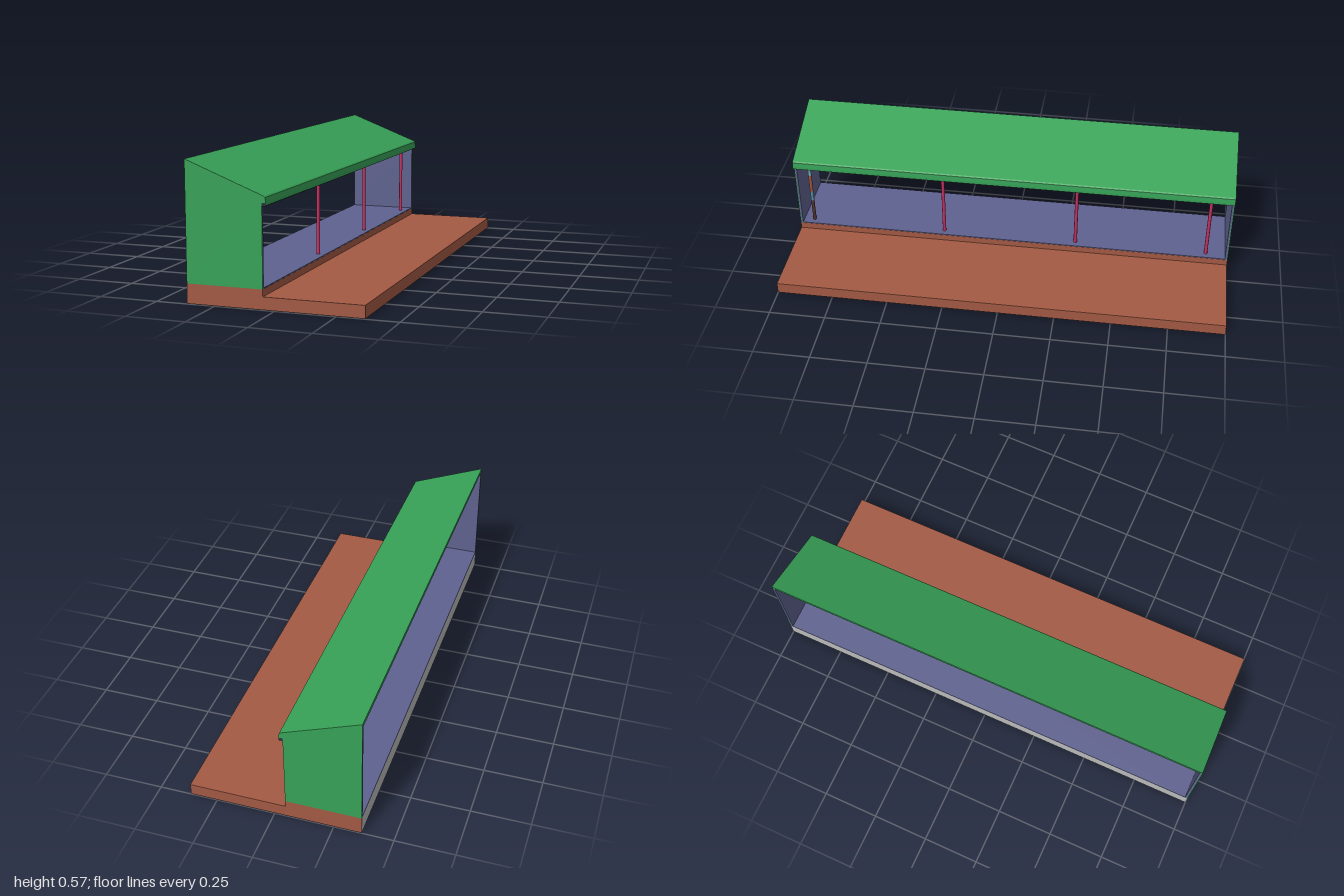
import * as THREE from 'three';

const paint = (name, color) => {
  const m = new THREE.MeshStandardMaterial({ color });
  m.name = name;
  return m;
};

export function createModel() {
  const green = paint('green', 0x37a257), brick = paint('brick', 0xa35a44);
  const blue = paint('slateBlue', 0x5f628f), crimson = paint('crimson', 0xc43262);
  const grey = paint('grey', 0xb8bab9), sky = paint('dustyBlue', 0x5e90a8);
  const teal = paint('paleTeal', 0x74b0b8), clay = paint('clay', 0xb87a6c);
  const dark = paint('darkBrown', 0x54342e), navy = paint('navy', 0x2c2d44);

  const group = new THREE.Group();
  const add = (name, geometry, material) => {
    const mesh = new THREE.Mesh(geometry, material);
    mesh.name = name;
    group.add(mesh);
    return mesh;
  };
  // box given by its extents
  const box = (name, x0, x1, y0, y1, z0, z1, material) =>
    add(name, new THREE.BoxGeometry(x1 - x0, y1 - y0, z1 - z0), material)
      .position.set((x0 + x1) / 2, (y0 + y1) / 2, (z0 + z1) / 2);
  // x-y outline drawn out along z
  const prism = (name, points, z0, z1, material) => {
    const shape = new THREE.Shape(points.map(p => new THREE.Vector2(...p)));
    const g = new THREE.ExtrudeGeometry(shape, { depth: z1 - z0, bevelEnabled: false });
    add(name, g.translate(0, 0, z0), material);
  };

  const back = -0.367, lip = -0.047, front = 0.365, step = 0.082;

  // base and terrace, with a grey rear face
  box('terrace', lip, front, 0.002, 0.053, -1, 1, brick);
  box('platform', back, lip, 0.002, step, -1, 1, [brick, grey, brick, brick, brick, brick]);
  box('floor', back, lip - 0.001, step, step + 0.004, -0.99, 0.99, blue);

  // patchwork underside: three columns across, seven rows along
  const patches = [[brick, clay, clay], [sky, teal, teal], [clay, dark, clay], [green, grey, blue]];
  const w = (front - back) / 3, d = 2 / 7;
  for (let row = 0; row < 7; row++) {
    for (let col = 0; col < 3; col++) {
      const g = new THREE.PlaneGeometry(w, d).rotateX(Math.PI / 2);
      add('undersidePatch', g, patches[row]?.[col] ?? grey)
        .position.set(front - (col + 0.5) * w, 0, -1 + (row + 0.5) * d);
    }
  }

  // end walls: green outside, blue lining inside
  const wall = [[back, step], [lip, step], [lip, 0.436], [back, 0.562]];
  for (const s of [-1, 1]) {
    const span = (a, b) => (s > 0 ? [a, b] : [-b, -a]);
    prism('endWall', wall, ...span(0.996, 1), green);
    prism('wallLining', wall, ...span(0.988, 0.996), blue);
  }

  // sloping roof with its eave, and the lining under it
  prism('roof', [[back, 0.57], [back, 0.556], [lip, 0.43], [lip, 0.416], [-0.031, 0.416],
    [-0.033, 0.437], [-0.039, 0.442]], -1, 1, green);
  prism('roofLining', [[back, 0.556], [back, 0.552], [lip, 0.426], [lip, 0.43]], -0.988, 0.988, blue);
  box('eaveBeam', lip, -0.033, 0.403, 0.416, -1, 1, navy);
  box('eaveFascia', -0.033, -0.031, 0.405, 0.416, -1, 1, green);

  // posts along the open front
  const post = (name, z, y0, y1, material) =>
    add(name, new THREE.CylinderGeometry(0.008, 0.008, y1 - y0, 8), material)
      .position.set(-0.08, (y0 + y1) / 2, z);
  for (const z of [0.315, -0.3, -0.9]) post('post', z, step, 0.442, crimson);
  // banded end post
  const bands = [[0.09, dark], [0.2, sky], [0.25, brick], [0.34, teal], [0.442]];
  bands[0][0] = step;
  for (let i = 0; i < 4; i++) post('bandedPost', 0.94, bands[i][0], bands[i + 1][0], bands[i][1]);

  return group;
}
